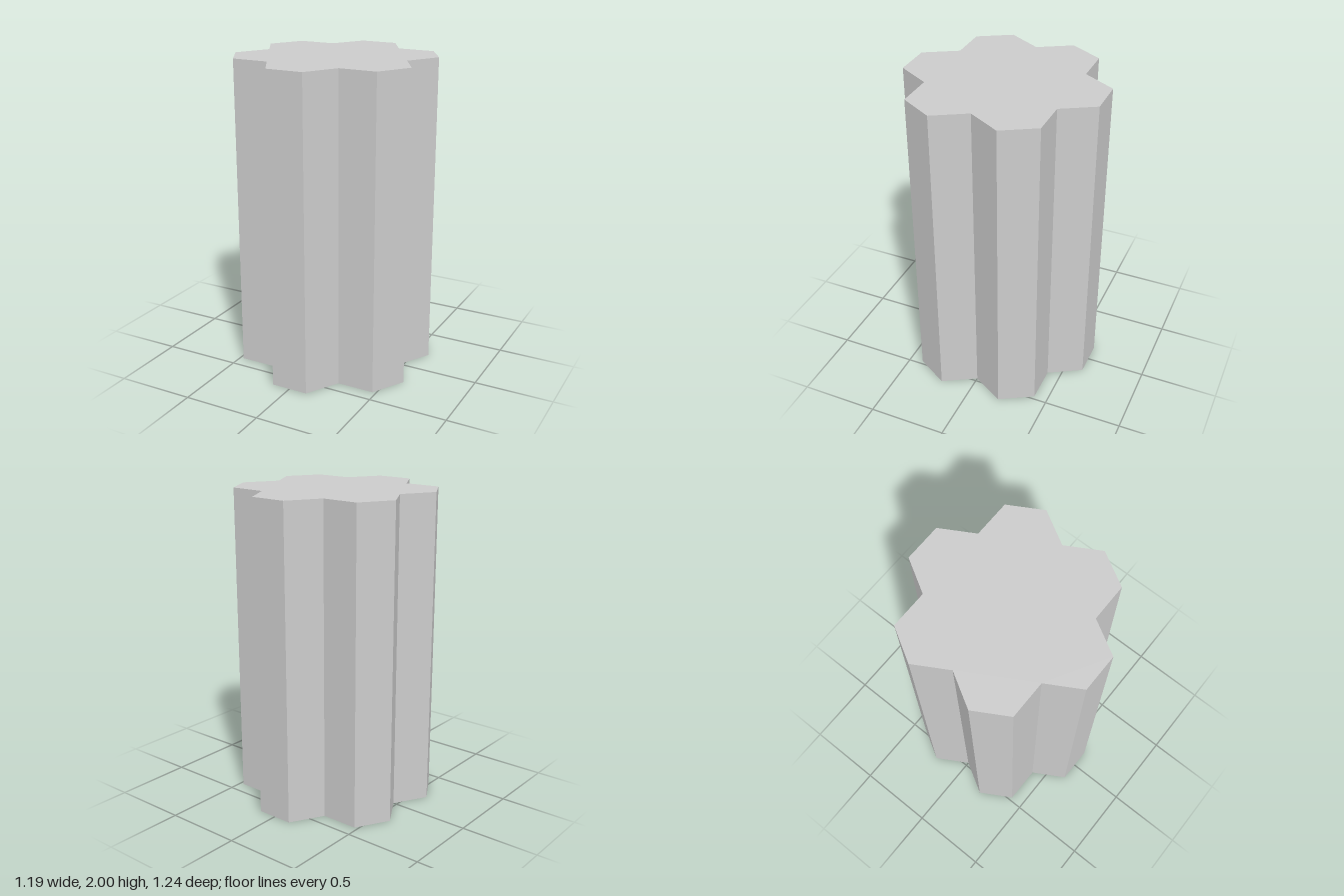
import * as THREE from 'three';

const SIDE = 0.2381;                    // edge of one hexagonal cell
const APOTHEM = SIDE * Math.sqrt(3) / 2;
const HEIGHT = 2;

// Outline of seven joined hexagons: six lobes, each with two tips and a notch after it
function clusterOutline() {
  const points = [];
  const centre = new THREE.Vector2();
  for (let i = 0; i < 6; i++) {
    const lobe = [
      new THREE.Vector2(SIDE / 2, 3 * APOTHEM),
      new THREE.Vector2(-SIDE / 2, 3 * APOTHEM),
      new THREE.Vector2(-SIDE, 2 * APOTHEM),
    ];
    for (const p of lobe) points.push(p.rotateAround(centre, i * Math.PI / 3));
  }
  return points;
}

// Upright strip of flat panels, one per outline edge
function wallGeometry(outline) {
  const positions = [];
  outline.forEach((p, i) => {
    const q = outline[(i + 1) % outline.length];
    const a = [p.x, 0, -p.y], b = [q.x, 0, -q.y];
    const c = [q.x, HEIGHT, -q.y], d = [p.x, HEIGHT, -p.y];
    positions.push(...a, ...b, ...c, ...a, ...c, ...d);
  });
  const geometry = new THREE.BufferGeometry();
  geometry.setAttribute('position', new THREE.Float32BufferAttribute(positions, 3));
  geometry.computeVertexNormals();
  return geometry;
}

export function createModel() {
  const group = new THREE.Group();
  group.name = 'hexagonClusterColumn';
  const material = new THREE.MeshStandardMaterial({
    color: 0xcccccc, flatShading: true, side: THREE.DoubleSide,
  });
  const outline = clusterOutline();

  // Thin outer walls, open at the bottom
  const walls = new THREE.Mesh(wallGeometry(outline), material);
  walls.name = 'walls';

  // Flat top
  const topGeometry = new THREE.ShapeGeometry(new THREE.Shape(outline));
  topGeometry.rotateX(-Math.PI / 2);
  const top = new THREE.Mesh(topGeometry, material);
  top.name = 'top';
  top.position.y = HEIGHT;

  group.add(walls, top);
  return group;
}
